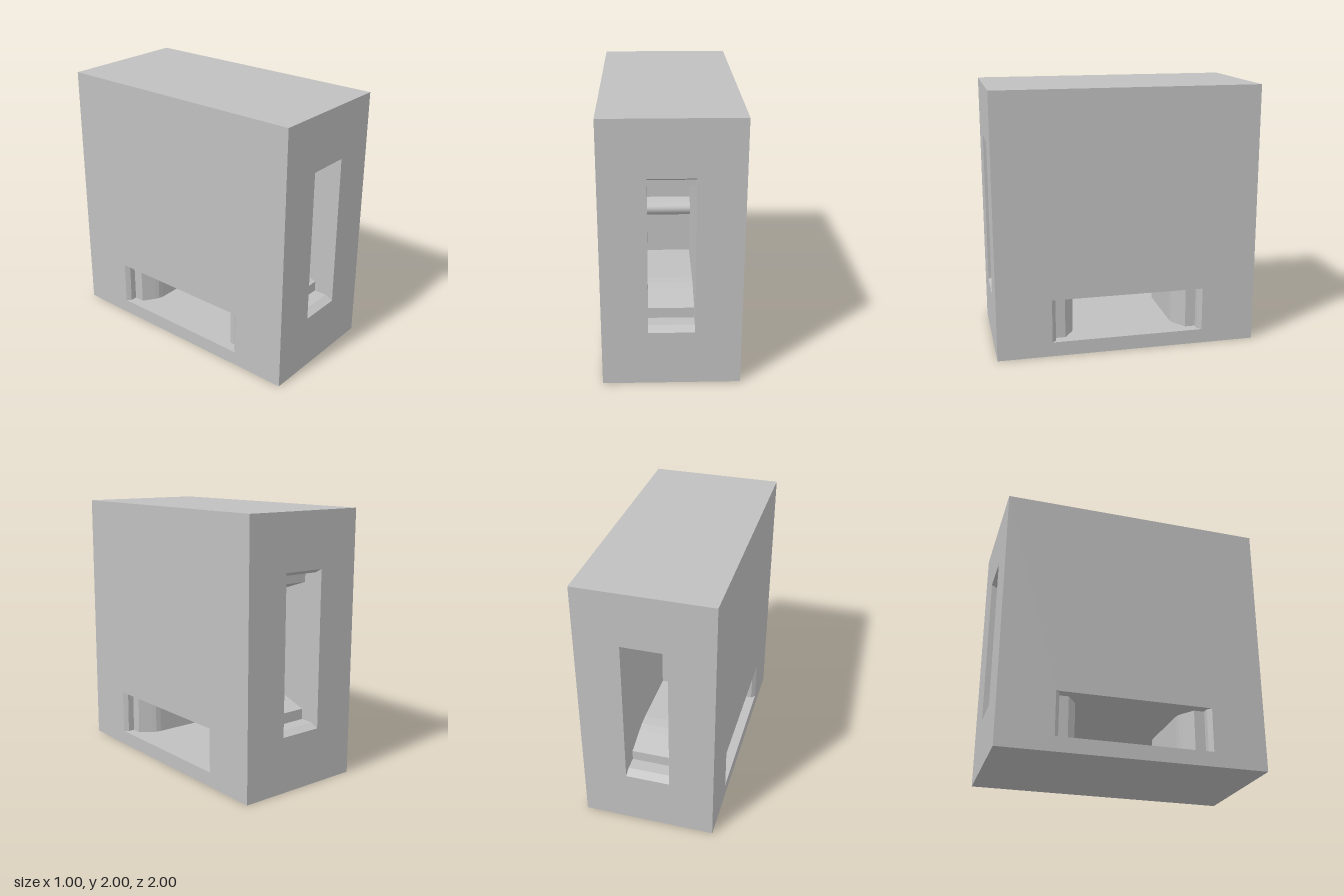
import * as THREE from 'three';

const HALF = 0.167; // half width of both slots

export function createModel() {
  const model = new THREE.Group();
  const grey = new THREE.MeshStandardMaterial({ color: 0xc0c0c0 });

  const add = (parent, name, geometry, x = 0, y = 0, z = 0) => {
    const mesh = new THREE.Mesh(geometry, grey);
    mesh.name = name;
    mesh.position.set(x, y, z);
    parent.add(mesh);
    return mesh;
  };

  const rect = (Type, cx, cy, hw, hh) => new Type([
    [-hw, -hh], [hw, -hh], [hw, hh], [-hw, hh],
  ].map(([x, y]) => new THREE.Vector2(cx + x, cy + y)));

  // Outer panel standing on y = 0, with a rectangular opening
  const panel = (hw, holeY, holeW, holeH) => {
    const shape = rect(THREE.Shape, 0, 1, hw, 1);
    shape.holes.push(rect(THREE.Path, 0, holeY, holeW, holeH));
    return new THREE.ShapeGeometry(shape);
  };

  // Stepped passage running along local x, height along y, width along z
  const passage = (name, length) => {
    const group = new THREE.Group();
    group.name = name;
    // [fraction of length from the mouth, half height]
    const steps = [[0, 0.585], [0.03, 0.555], [0.08, 0.555], [0.08, 0.475],
      [0.17, 0.415], [0.2, 0.398], [0.24, 0.391]];
    const side = steps.map(([d, v]) => [(d - 0.5) * length, -v]);
    const bottom = [...side, ...side.slice().reverse().map(([u, v]) => [-u, v])];
    const top = bottom.map(([u, v]) => [-u, -v]);

    // Floor and ceiling strips facing into the passage
    for (const [label, path] of [['Floor', bottom], ['Ceiling', top]]) {
      const pos = [];
      for (let i = 0; i + 1 < path.length; i++) {
        const [a, b] = [path[i], path[i + 1]];
        pos.push(...a, HALF, ...b, HALF, ...b, -HALF, ...a, HALF, ...b, -HALF, ...a, -HALF);
      }
      const geometry = new THREE.BufferGeometry();
      geometry.setAttribute('position', new THREE.Float32BufferAttribute(pos, 3));
      geometry.computeVertexNormals();
      add(group, name + label, geometry);
    }

    // The two flat walls
    const outline = new THREE.Shape([...bottom, ...top].map((p) => new THREE.Vector2(...p)));
    const wall = new THREE.ShapeGeometry(outline);
    add(group, name + 'Wall', wall, 0, 0, -HALF);
    add(group, name + 'Wall', wall, 0, 0, HALF).rotation.y = Math.PI;
    model.add(group);
    return group;
  };

  // Block faces
  const endPanel = panel(0.5, 1.003, HALF, 0.585);
  const sidePanel = panel(1, 0.278, 0.585, HALF);
  add(model, 'frontFace', endPanel, 0, 0, 1);
  add(model, 'backFace', endPanel, 0, 0, -1).rotation.y = Math.PI;
  for (const s of [1, -1]) {
    add(model, s > 0 ? 'leftFace' : 'rightFace', sidePanel, s * 0.5).rotation.y = s * Math.PI / 2;
    add(model, s > 0 ? 'topFace' : 'bottomFace', new THREE.PlaneGeometry(1, 2), 0, s > 0 ? 2 : 0)
      .rotation.x = -s * Math.PI / 2;
  }

  // Upright slot from front to back, and low slot from side to side
  const upright = passage('uprightSlot', 2);
  upright.position.y = 1.003;
  upright.rotation.y = -Math.PI / 2;
  const low = passage('lowSlot', 1);
  low.position.y = 0.278;
  low.rotation.x = Math.PI / 2;

  // Partition in the upright slot, with a rounded bar across it
  add(model, 'partition', new THREE.BoxGeometry(2 * HALF, 0.79, 0.1), 0, 1.003, 0);
  const bar = add(model, 'bar', new THREE.CylinderGeometry(0.077, 0.077, 2 * HALF, 32), 0, 1.003, 0);
  bar.rotation.z = Math.PI / 2;
  bar.scale.z = 2;

  return model;
}
